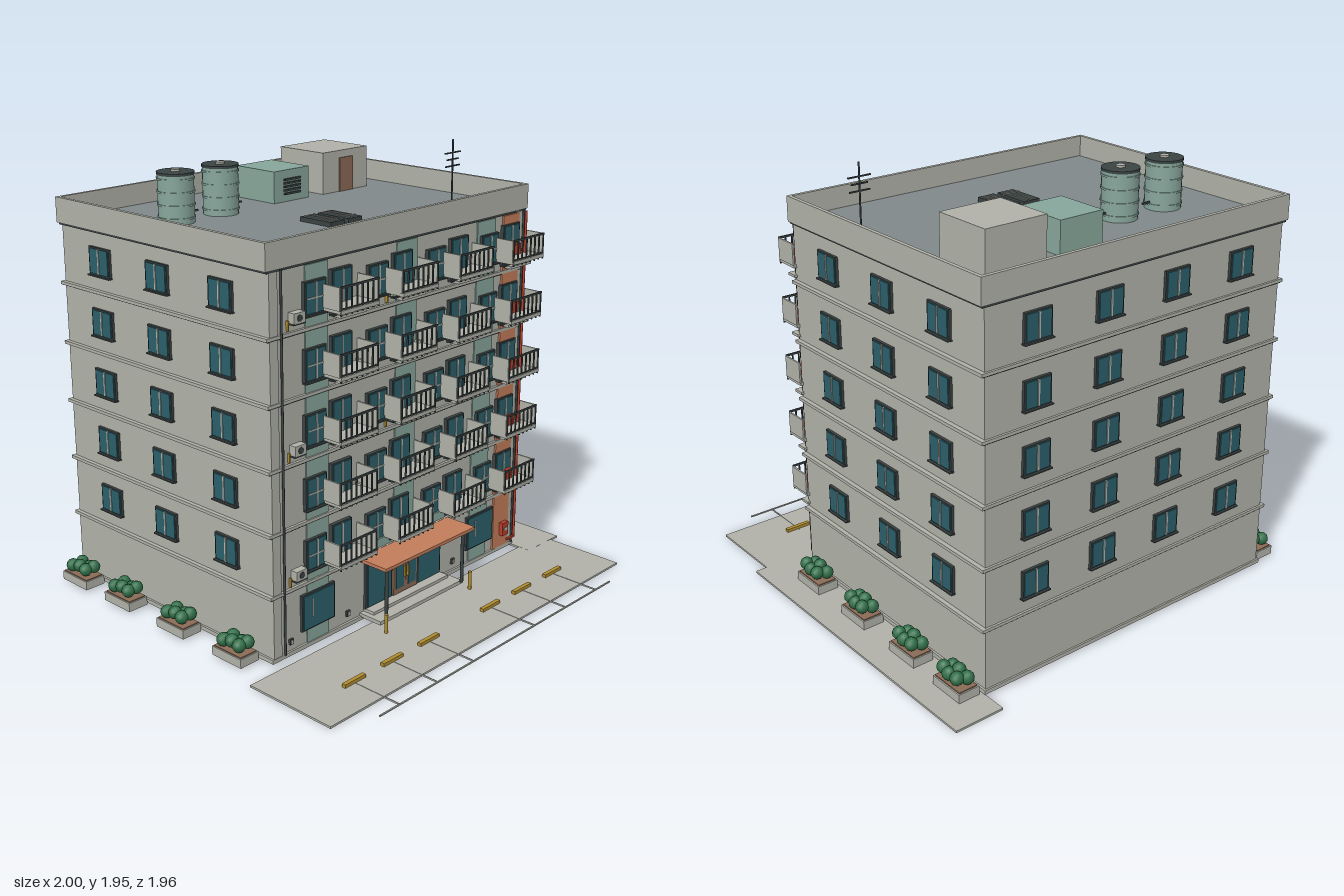
import * as THREE from 'three';

const M = {};
for (const [name, color] of Object.entries({
  wall: 0xb0b1a8, roofGrey: 0x7f888a, paleGreen: 0x87a69b, terracotta: 0xc27c5a, glass: 0x2b5f6a,
  dark: 0x3b4343, brown: 0x8a6b55, red: 0xb83e2a, yellow: 0xb08c30, leaf: 0x2f6e48,
})) {
  M[name] = new THREE.MeshStandardMaterial({ color });
  M[name].name = name;
}

// Box given by its limits on each axis
function box(parent, name, mat, x0, x1, y0, y1, z0, z1) {
  const m = new THREE.Mesh(new THREE.BoxGeometry(x1 - x0, y1 - y0, z1 - z0), mat);
  m.position.set((x0 + x1) / 2, (y0 + y1) / 2, (z0 + z1) / 2);
  m.name = name;
  parent.add(m);
  return m;
}

function cyl(parent, name, mat, r, x, y0, y1, z, sides = 10) {
  const m = new THREE.Mesh(new THREE.CylinderGeometry(r, r, y1 - y0, sides), mat);
  m.position.set(x, (y0 + y1) / 2, z);
  m.name = name;
  parent.add(m);
  return m;
}

function group(parent, name, x = 0, y = 0, z = 0, ry = 0) {
  const g = new THREE.Group();
  g.name = name;
  g.position.set(x, y, z);
  g.rotation.y = ry;
  parent.add(g);
  return g;
}

// Framed glass with a centre mullion, standing on the local z = 0 plane
function windowUnit(parent, name, x, y, z, w, h, ry = 0, cross = false) {
  const g = group(parent, name, x, y, z, ry);
  const a = w / 2, b = h / 2;
  box(g, 'windowFrame', M.dark, -a, a, -b, b, -0.005, 0.012);
  for (const s of [-1, 1]) {
    const c = s * a * 0.48, p = a * 0.41;
    box(g, 'pane', M.glass, c - p, c + p, -b + 0.006, b - 0.006, 0.01, 0.016);
  }
  box(g, 'mullion', M.wall, -0.004, 0.004, -b + 0.006, b - 0.006, 0.01, 0.019);
  if (cross) box(g, 'transom', M.wall, -a + 0.008, a - 0.008, -0.003, 0.003, 0.01, 0.019);
  box(g, 'windowSill', M.dark, -a - 0.004, a + 0.004, -b - 0.006, -b, 0, 0.022);
}

const X0 = -0.82, X1 = 0.765, Z0 = -0.865, Z1 = 0.4;
const FLOORS = [0.305, 0.575, 0.845, 1.115, 1.385];
const BAYS = [-0.43, -0.065, 0.303, 0.668];

function buildShell(root) {
  const g = group(root, 'shell');
  box(g, 'walls', M.wall, X0, X1, 0.02, 1.655, Z0, Z1);
  box(g, 'baseBand', M.wall, X0 - 0.01, X1 + 0.01, 0.012, 0.03, Z0 - 0.008, Z1 + 0.01);
  // Floor bands with a dark shadow joint
  for (const y of FLOORS) {
    box(g, 'floorBand', M.wall, X0 - 0.018, X1 + 0.02, y - 0.006, y + 0.008, Z0 - 0.01, Z1 + 0.012);
    box(g, 'bandJoint', M.dark, X0 - 0.01, X1 + 0.012, y - 0.01, y - 0.006, Z0 - 0.006, Z1 + 0.008);
  }
  for (const x of [X0, X1 - 0.045]) box(g, 'cornerPier', M.wall, x, x + 0.045, 0.02, 1.65, Z1 - 0.01, Z1 + 0.008);
  // Roof deck and parapet
  box(g, 'parapetJoint', M.dark, X0 - 0.012, X1 + 0.015, 1.643, 1.652, Z0 - 0.008, Z1 + 0.008);
  box(g, 'roofDeck', M.roofGrey, X0, X1 + 0.01, 1.65, 1.668, Z0, Z1);
  const px0 = -0.84, px1 = 0.788, pz0 = -0.877, pz1 = 0.412, t = 0.017;
  for (const z of [pz0, pz1 - t]) box(g, 'parapet', M.wall, px0, px1, 1.652, 1.763, z, z + t);
  for (const x of [px0, px1 - t]) box(g, 'parapet', M.wall, x, x + t, 1.652, 1.763, pz0 + t, pz1 - t);
  // Side and back windows
  for (const y of FLOORS) {
    for (const z of [0.145, -0.235, -0.605]) {
      windowUnit(g, 'sideWindow', X1, y + 0.135, z, 0.135, 0.12, Math.PI / 2);
      windowUnit(g, 'sideWindow', X0, y + 0.135, z, 0.135, 0.12, -Math.PI / 2);
    }
    for (const x of [-0.57, -0.2, 0.16, 0.52]) windowUnit(g, 'backWindow', x, y + 0.135, Z0, 0.135, 0.12, Math.PI);
  }
}

function buildBalcony(parent, x, y) {
  const g = group(parent, 'balcony', x, y, Z1);
  const a = 0.11, d = 0.117;
  box(g, 'balconySlab', M.wall, -a, a, 0.062, 0.077, 0, d);
  for (const s of [-1, 1]) box(g, 'balconySide', M.wall, s * a - 0.004, s * a + 0.004, 0.075, 0.17, 0, d - 0.006);
  box(g, 'topRail', M.dark, -a, a, 0.165, 0.173, d - 0.008, d);
  box(g, 'bottomRail', M.dark, -a, a, 0.08, 0.085, d - 0.007, d - 0.001);
  for (let i = 0; i <= 7; i++) {
    const bx = -a + 0.003 + i * (2 * a - 0.006) / 7;
    box(g, 'railBar', M.dark, bx - 0.003, bx + 0.003, 0.055, 0.168, d - 0.007, d - 0.001);
  }
  box(g, 'ledge', M.wall, -0.04, 0.11, 0.02, 0.032, 0, 0.05);
}

function buildFront(root) {
  const g = group(root, 'frontFacade');
  for (const x of [-0.625, -0.09, 0.44]) box(g, 'greenPanel', M.paleGreen, x, x + 0.128, 0.03, 1.64, Z1, Z1 + 0.005);
  box(g, 'terracottaPanel', M.terracotta, 0.62, 0.735, 0.02, 1.64, Z1, Z1 + 0.009);
  FLOORS.forEach((y, f) => {
    for (const x of BAYS) {
      windowUnit(g, 'frontWindow', x - 0.15, y + 0.125, Z1 + 0.006, 0.12, 0.135, 0, true);
      windowUnit(g, 'balconyDoor', x, y + 0.125, Z1 + 0.006, 0.118, 0.18);
      buildBalcony(g, x, y);
    }
    // Air conditioners on brackets
    for (const x of f % 2 ? [0.06, -0.305] : [-0.685, -0.115]) {
      const ac = group(g, 'airConditioner', x, y + 0.065, Z1);
      box(ac, 'acCase', M.wall, -0.03, 0.03, -0.02, 0.022, 0.003, 0.036);
      const fan = cyl(ac, 'acFan', M.dark, 0.014, 0, -0.002, 0.002, 0.037);
      fan.position.y = 0;
      fan.rotation.x = Math.PI / 2;
      box(ac, 'acBracket', M.dark, -0.033, 0.033, -0.026, -0.02, 0, 0.036);
      box(ac, 'acPipe', M.yellow, -0.04, -0.034, -0.05, -0.01, 0, 0.012);
    }
    box(g, 'fireCabinet', M.red, 0.668, 0.712, y + 0.065, y + 0.125, Z1 + 0.005, Z1 + 0.04);
  });
  // Ground floor windows, vents and pipes
  for (const x of [-0.565, 0.512]) {
    box(g, 'shopFrame', M.dark, x - 0.097, x + 0.097, 0.093, 0.258, Z1, Z1 + 0.012);
    box(g, 'shopGlass', M.glass, x - 0.09, x + 0.09, 0.1, 0.251, Z1 + 0.01, Z1 + 0.017);
    box(g, 'shopHandle', M.wall, x - 0.043, x - 0.037, 0.15, 0.23, Z1 + 0.015, Z1 + 0.02);
  }
  for (const x of [-0.72, -0.38, 0.325]) {
    box(g, 'vent', M.dark, x - 0.01, x + 0.01, 0.06, 0.085, Z1, Z1 + 0.01);
    box(g, 'ventFace', M.wall, x - 0.006, x + 0.006, 0.064, 0.081, Z1 + 0.008, Z1 + 0.013);
  }
  box(g, 'fireCabinet', M.red, 0.668, 0.712, 0.09, 0.155, Z1 + 0.005, Z1 + 0.03);
  box(g, 'cabinetLabel', M.wall, 0.678, 0.702, 0.115, 0.13, Z1 + 0.028, Z1 + 0.033);
  cyl(g, 'redPipe', M.red, 0.006, 0.745, 0.07, 1.65, 0.437);
  box(g, 'pipeFoot', M.red, 0.69, 0.75, 0.065, 0.075, 0.432, 0.442);
  for (const x of [-0.762, 0.758]) cyl(g, 'drainPipe', M.dark, 0.005, x, 0.03, 1.65, Z1 + 0.014);
}

function buildEntrance(root) {
  const g = group(root, 'entrance', -0.025, 0, 0);
  box(g, 'entranceFrame', M.dark, -0.25, 0.25, 0.05, 0.29, Z1, Z1 + 0.012);
  for (const s of [-1, 1]) {
    box(g, 'entranceGlass', M.glass, s * 0.165 - 0.075, s * 0.165 + 0.075, 0.06, 0.28, Z1 + 0.01, Z1 + 0.018);
    box(g, 'doorLeaf', M.brown, s * 0.04 - 0.039, s * 0.04 + 0.039, 0.06, 0.27, Z1 + 0.01, Z1 + 0.022);
    box(g, 'doorGlass', M.glass, s * 0.04 - 0.025, s * 0.04 + 0.025, 0.085, 0.245, Z1 + 0.02, Z1 + 0.025);
    box(g, 'doorHandle', M.yellow, s * 0.01 - 0.003, s * 0.01 + 0.003, 0.13, 0.18, Z1 + 0.022, Z1 + 0.032);
    cyl(g, 'canopyPost', M.dark, 0.008, s * 0.255, 0.045, 0.3, 0.535);
    cyl(g, 'bollard', M.yellow, 0.008, s * 0.283, 0.005, 0.095, 0.56);
  }
  box(g, 'canopy', M.terracotta, -0.297, 0.297, 0.297, 0.312, Z1, 0.568);
  box(g, 'canopyTrim', M.dark, -0.285, 0.285, 0.29, 0.297, Z1, 0.558);
  box(g, 'fasciaPanel', M.paleGreen, -0.253, 0.253, 0.33, 0.37, Z1 + 0.01, Z1 + 0.03);
  box(g, 'upperStep', M.wall, -0.25, 0.25, 0.04, 0.056, Z1, 0.46);
  box(g, 'lowerStep', M.wall, -0.275, 0.275, 0.025, 0.042, Z1, 0.52);
}

function buildRoof(root) {
  const g = group(root, 'roofEquipment');
  const R = 1.668;
  // Banded water tanks
  for (const x of [-0.53, -0.278]) {
    const t = group(g, 'waterTank', x, R, -0.45);
    cyl(t, 'tankBody', M.paleGreen, 0.078, 0, 0, 0.208, 0, 24);
    for (const y of [0.02, 0.075, 0.13, 0.185]) cyl(t, 'tankHoop', M.paleGreen, 0.082, 0, y, y + 0.008, 0, 24);
    cyl(t, 'tankLid', M.dark, 0.081, 0, 0.206, 0.217, 0, 24);
    cyl(t, 'tankCap', M.wall, 0.02, 0, 0.215, 0.226, 0, 12);
    box(t, 'tankPipe', M.dark, 0.07, 0.12, 0.03, 0.038, -0.004, 0.004);
  }
  // Machine room with louvres, stair house with door
  box(g, 'machineRoom', M.paleGreen, 0.02, 0.24, R, 1.812, -0.67, -0.425);
  for (let i = 0; i < 5; i++) box(g, 'louvre', M.dark, 0.08, 0.18, 1.7 + i * 0.016, 1.709 + i * 0.016, -0.427, -0.415);
  box(g, 'stairHouse', M.wall, 0.328, 0.625, R, 1.86, -0.695, -0.418);
  box(g, 'stairDoor', M.brown, 0.435, 0.525, R, 1.826, -0.42, -0.412);
  // Roof hatches with pale strips
  for (const x of [-0.162, -0.055]) {
    box(g, 'roofPanel', M.dark, x, x + 0.086, R, R + 0.02, -0.08, 0.1);
    for (const o of [0.028, 0.056]) box(g, 'panelStrip', M.wall, x + o, x + o + 0.004, R + 0.018, R + 0.023, -0.075, 0.095);
    box(g, 'panelBar', M.wall, x, x + 0.086, R + 0.018, R + 0.023, 0.055, 0.06);
  }
  // Aerial
  cyl(g, 'aerialMast', M.dark, 0.004, 0.633, R, 1.945, 0.1, 8);
  [[1.885, 0.055], [1.855, 0.04], [1.825, 0.05]].forEach(([y, a]) =>
    box(g, 'aerialBar', M.dark, 0.633 - a, 0.633 + a, y - 0.003, y + 0.003, 0.097, 0.103));
}

function buildGrounds(root) {
  const g = group(root, 'grounds');
  box(g, 'forecourt', M.wall, -1, 0.945, 0, 0.009, 0.455, 0.895);
  box(g, 'sidePath', M.wall, 0.77, 1, 0, 0.0095, -0.98, 0.515);
  // Parking bays
  box(g, 'kerbLine', M.wall, -0.815, 0.758, 0.004, 0.01, 0.974, 0.98);
  for (const x of [-0.7, -0.47, -0.24, 0.18, 0.41, 0.643]) {
    box(g, 'bayLine', M.wall, x - 0.002, x + 0.002, 0.004, 0.011, 0.72, 0.976);
    box(g, 'wheelStop', M.yellow, x - 0.06, x + 0.06, 0.008, 0.024, 0.727, 0.746);
  }
  // Planters down both sides
  const ball = new THREE.IcosahedronGeometry(0.03, 1);
  for (const x of [-0.89, 0.838]) {
    for (const z of [-0.767, -0.462, -0.105, 0.25]) {
      const p = group(g, 'planter', x, 0, z);
      box(p, 'planterBox', M.wall, -0.05, 0.05, 0.01, 0.05, -0.086, 0.086);
      box(p, 'soil', M.brown, -0.044, 0.044, 0.048, 0.055, -0.08, 0.08);
      [[-0.02, -0.048], [0.022, -0.035], [-0.018, 0.002], [0.02, 0.02], [-0.02, 0.046], [0.018, 0.055]].forEach(([bx, bz], i) => {
        const b = new THREE.Mesh(ball, M.leaf);
        b.name = 'bush';
        b.position.set(bx, 0.083 + (i % 3) * 0.006, bz);
        b.rotation.y = i;
        p.add(b);
      });
    }
  }
}

export function createModel() {
  const root = new THREE.Group();
  root.name = 'apartmentBlock';
  buildShell(root);
  buildFront(root);
  buildEntrance(root);
  buildRoof(root);
  buildGrounds(root);
  return root;
}
